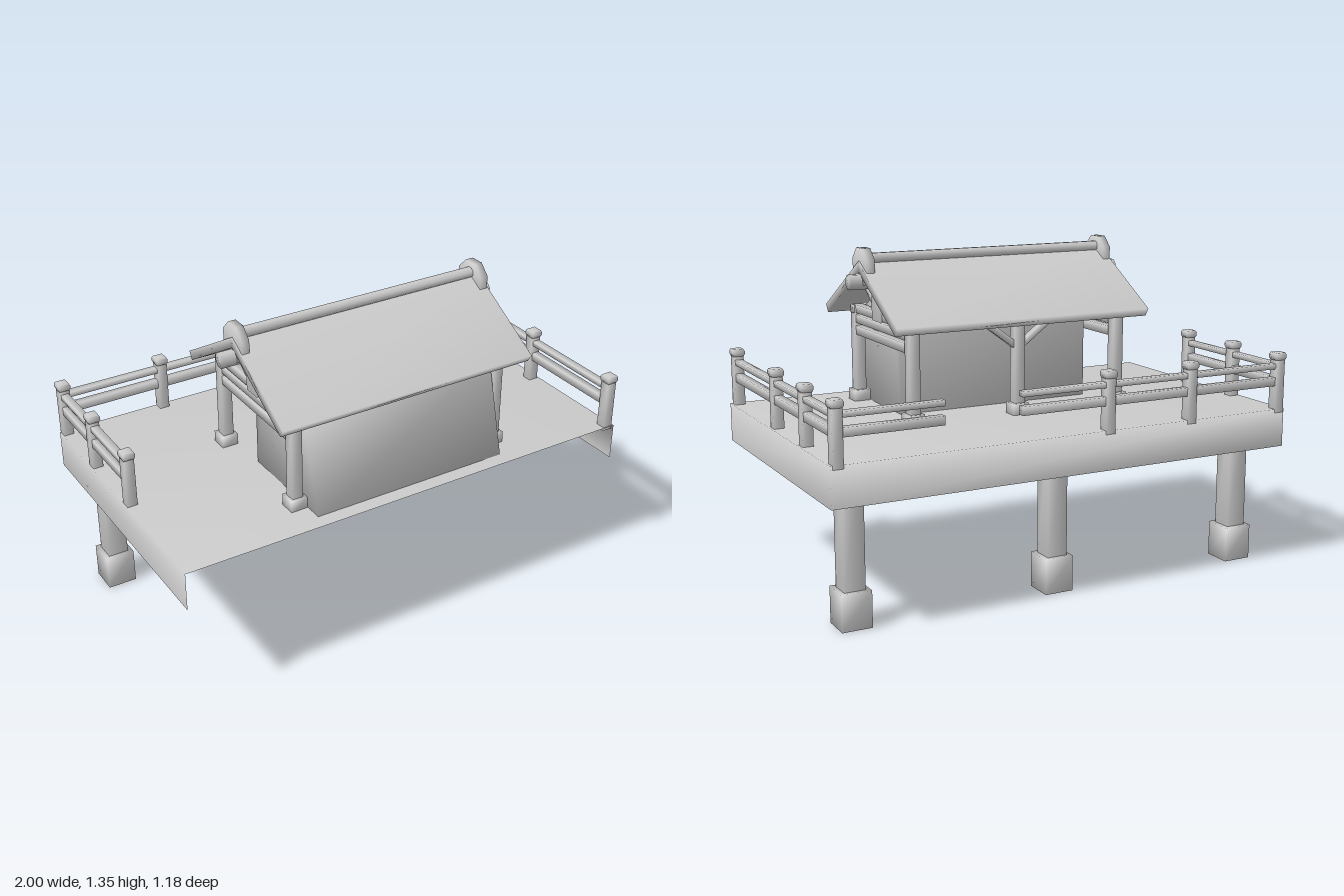
import * as THREE from 'three';
import { mergeVertices } from 'three/addons/utils/BufferGeometryUtils.js';

const material = new THREE.MeshStandardMaterial({ color: 0xcccccc, side: THREE.DoubleSide });

// Welds corners so that normals blend softly across edges
function soften(geometry) {
  geometry.deleteAttribute('uv');
  geometry.deleteAttribute('normal');
  const welded = mergeVertices(geometry, 1e-4);
  welded.computeVertexNormals();
  return welded;
}

function add(parent, name, geometry) {
  const mesh = new THREE.Mesh(geometry, material);
  mesh.name = name;
  parent.add(mesh);
  return mesh;
}

// Box given by its limits on each axis
function block(parent, name, x0, x1, y0, y1, z0, z1) {
  const geometry = soften(new THREE.BoxGeometry(x1 - x0, y1 - y0, z1 - z0));
  geometry.translate((x0 + x1) / 2, (y0 + y1) / 2, (z0 + z1) / 2);
  return add(parent, name, geometry);
}

// Square upright centred on x, z
function upright(parent, name, x, z, width, y0, y1) {
  const h = width / 2;
  return block(parent, name, x - h, x + h, y0, y1, z - h, z + h);
}

// Slanted square bar between two points
function bar(parent, name, a, b, width) {
  const from = new THREE.Vector3(...a), to = new THREE.Vector3(...b);
  const mesh = add(parent, name, soften(new THREE.BoxGeometry(width, width, from.distanceTo(to))));
  mesh.position.copy(from).add(to).multiplyScalar(0.5);
  mesh.lookAt(to);
  return mesh;
}

// Profile of [z, y] points swept along x
function sweep(parent, name, points, x0, x1) {
  const shape = new THREE.Shape(points.map(([z, y]) => new THREE.Vector2(z, y)));
  const geometry = new THREE.ExtrudeGeometry(shape, { depth: x1 - x0, bevelEnabled: false });
  geometry.rotateY(-Math.PI / 2).translate(x1, 0, 0);
  return add(parent, name, soften(geometry));
}

// Round bar along x
function roundBar(parent, name, x0, x1, y, z, radius, sides) {
  const geometry = new THREE.CylinderGeometry(radius, radius, x1 - x0, sides);
  geometry.rotateY(Math.PI / sides).rotateZ(Math.PI / 2).translate((x0 + x1) / 2, y, z);
  return add(parent, name, soften(geometry));
}

function makeDeck() {
  const deck = new THREE.Group();
  deck.name = 'deck';
  // Top sheet with a skirt on the back and both sides, open at the front
  const positions = [];
  for (const y of [0.675, 0.515]) {
    positions.push(-1, y, 0.585, -1, y, -0.585, 1, y, -0.585, 1, y, 0.585);
  }
  const index = [0, 2, 1, 0, 3, 2];
  for (let i = 0; i < 3; i++) index.push(i, i + 1, i + 5, i, i + 5, i + 4);
  const geometry = new THREE.BufferGeometry();
  geometry.setAttribute('position', new THREE.Float32BufferAttribute(positions, 3));
  geometry.setIndex(index);
  geometry.computeVertexNormals();
  add(deck, 'platform', geometry);

  // Stilts along the back
  for (const x of [-0.88, 0, 0.865]) {
    upright(deck, 'stilt', x, -0.405, 0.086, 0.14, 0.67);
    upright(deck, 'stiltFoot', x, -0.405, 0.122, 0, 0.147);
  }
  return deck;
}

function makeFence() {
  const fence = new THREE.Group();
  fence.name = 'fence';
  const back = -0.565, left = 0.97, right = -0.975;
  const posts = [
    [right, back], [-0.537, back], [-0.155, back], [left, back],
    [right, -0.262], [right, 0.065], [left, -0.262], [left, 0.065], [left, 0.56],
  ];
  for (const [x, z] of posts) {
    upright(fence, 'fencePost', x, z, 0.042, 0.66, 0.89);
    // Post cap, tapered at its underside and top
    const cap = new THREE.LatheGeometry([
      [0, 0.88], [0.03, 0.88], [0.036, 0.89], [0.036, 0.902], [0.03, 0.911], [0, 0.911],
    ].map(([r, y]) => new THREE.Vector2(r, y)), 4);
    add(fence, 'postCap', soften(cap.rotateY(Math.PI / 4).translate(x, 0, z)));
  }
  // Pairs of rails; the back run has a gap
  for (const [y0, y1] of [[0.773, 0.808], [0.844, 0.866]]) {
    const h = 0.016;
    block(fence, 'backRail', right, 0.23, y0, y1, back - h, back + h);
    block(fence, 'backRail', 0.55, left, y0, y1, back - h, back + h);
    block(fence, 'rightRail', right - h, right + h, y0, y1, back, 0.065);
    block(fence, 'leftRail', left - h, left + h, y0, y1, back, 0.56);
  }
  return fence;
}

function makeHouse() {
  const house = new THREE.Group();
  house.name = 'house';
  const ridge = 0.13, frontZ = 0.41, backZ = -0.148;

  // Room with a leaning front wall
  sweep(house, 'room', [[0.05, 0.66], [0.525, 0.66], [0.415, 1.075], [0.13, 1.235], [0.05, 1.19]], -0.41, 0.45);

  // Posts on square pads
  for (const x of [-0.447, 0.02, 0.485]) {
    for (const z of x === 0.02 ? [backZ] : [frontZ, backZ]) {
      upright(house, 'housePost', x, z, 0.045, 0.7, 1.085);
      upright(house, 'postPad', x, z, 0.07, 0.66, 0.722);
    }
  }

  // Beams and trusses of the two gables
  for (const x of [-0.447, 0.485]) {
    for (const [y0, y1] of [[0.96, 0.998], [1.01, 1.045], [1.052, 1.087]]) {
      block(house, 'tieBeam', x - 0.018, x + 0.018, y0, y1, backZ, frontZ);
    }
    block(house, 'kingPost', x - 0.03, x + 0.03, 1.05, 1.25, ridge + 0.015 - 0.038, ridge + 0.015 + 0.038);
    for (const side of [-1, 1]) {
      bar(house, 'gableBrace', [x, 1.08, ridge + side * 0.03], [x, 1.17, ridge + side * 0.15], 0.026);
    }
  }

  // Long plates and braces on the back frame
  for (const z of [frontZ, backZ]) {
    block(house, 'wallPlate', -0.47, 0.51, 1.05, 1.085, z - 0.018, z + 0.018);
  }
  for (const side of [-1, 1]) {
    bar(house, 'backBrace', [0.02, 0.95, backZ], [0.02 + side * 0.15, 1.06, backZ], 0.026);
  }

  // Gabled roof slab
  const half = [[0.376, 1.08], [0.355, 1.048]];
  sweep(house, 'roof', [
    [ridge, 1.3],
    ...half.map(([d, y]) => [ridge - d, y]),
    [ridge, 1.256],
    ...half.map(([d, y]) => [ridge + d, y]).reverse(),
  ], -0.545, 0.59);

  // Ridge pole between end discs, and the beam under the ridge
  roundBar(house, 'ridgePole', -0.52, 0.56, 1.308, ridge, 0.023, 8);
  roundBar(house, 'ridgeDisc', -0.542, -0.51, 1.279, ridge, 0.079, 8);
  roundBar(house, 'ridgeDisc', 0.55, 0.585, 1.279, ridge, 0.079, 8);
  roundBar(house, 'ridgeBeam', -0.6, 0.635, 1.217, ridge, 0.032, 8);
  return house;
}

export function createModel() {
  const model = new THREE.Group();
  model.name = 'stiltHouse';
  model.add(makeDeck(), makeFence(), makeHouse());
  return model;
}
